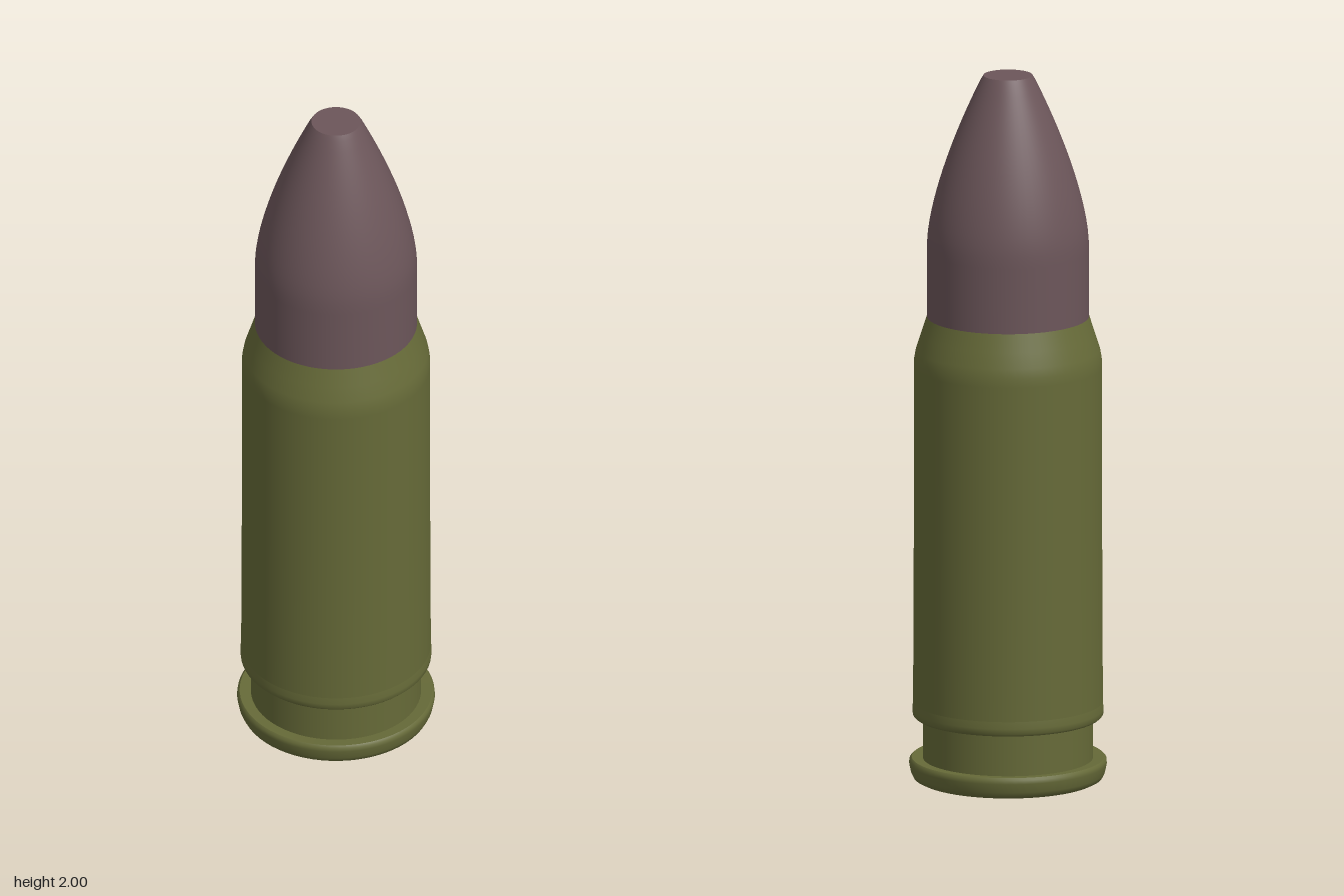
import * as THREE from 'three';

const SEGMENTS = 64;

export function createModel() {
  const model = new THREE.Group();
  model.name = 'cartridge';

  const olive = new THREE.MeshStandardMaterial({ color: 0x666a38 });
  olive.name = 'olive casing';
  const mauve = new THREE.MeshStandardMaterial({ color: 0x6c565a });
  mauve.name = 'mauve bullet';

  // Each section is a smooth turned profile, listed from bottom to top; joins between sections stay sharp.
  function addPart(name, material, sections) {
    const part = new THREE.Group();
    part.name = name;
    sections.forEach((section, i) => {
      const points = section.map(([r, y]) => new THREE.Vector2(r, y));
      const mesh = new THREE.Mesh(new THREE.LatheGeometry(points, SEGMENTS), material);
      mesh.name = `${name}Section${i + 1}`;
      part.add(mesh);
    });
    model.add(part);
  }

  // Flat base with a rounded flange
  addPart('rim', olive, [
    [[0, 0], [0.25, 0]],
    [[0.25, 0], [0.262, 0.006], [0.269, 0.02], [0.274, 0.045], [0.273, 0.056], [0.267, 0.062]],
    [[0.267, 0.062], [0.236, 0.06]],
  ]);

  // Recess between the rim and the body
  addPart('extractorGroove', olive, [
    [[0.236, 0.06], [0.236, 0.178]],
    [[0.236, 0.178], [0.257, 0.178]],
  ]);

  // Straight wall, softened shoulder and neck
  addPart('casing', olive, [
    [[0.257, 0.178], [0.264, 0.185], [0.265, 0.2], [0.263, 0.22]],
    [[0.263, 0.22], [0.261, 0.7], [0.261, 1.17], [0.26, 1.195], [0.255, 1.222], [0.241, 1.265], [0.225, 1.315]],
  ]);

  // Straight shank followed by the curved nose
  const nose = [[0.2245, 1.3], [0.2245, 1.5]];
  const steps = 16;
  for (let i = 0; i <= steps; i++) {
    const t = i / steps;
    nose.push([0.224 - 0.147 * t ** 1.5, 1.53 + 0.455 * t]);
  }
  nose.push([0.068, 2]);
  addPart('bullet', mauve, [nose, [[0.068, 2], [0, 2]]]);

  return model;
}
